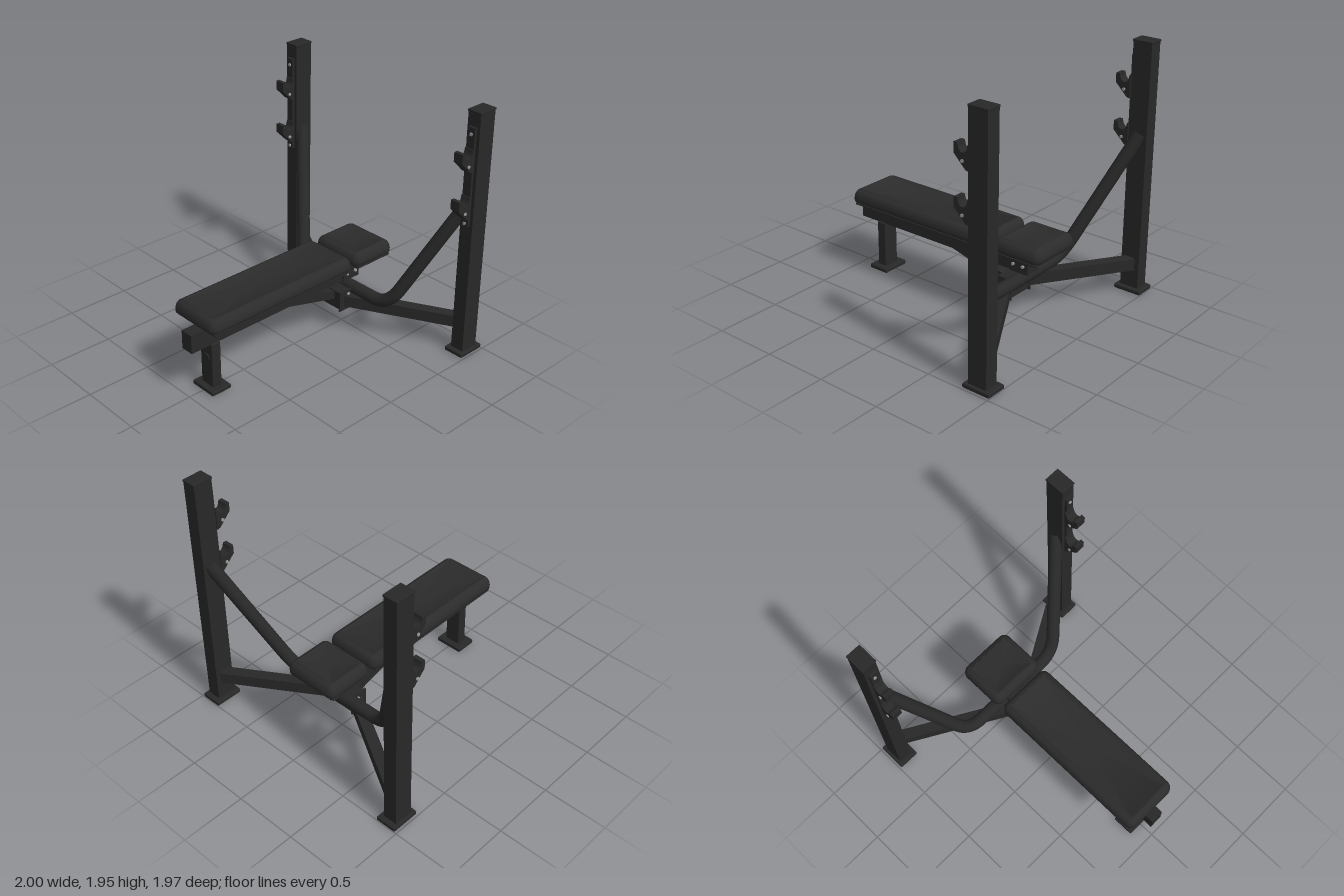
import * as THREE from 'three';
import { toCreasedNormals } from 'three/addons/utils/BufferGeometryUtils.js';
import { RoundedBoxGeometry } from 'three/addons/geometries/RoundedBoxGeometry.js';

const mat = (name, color) => {
  const m = new THREE.MeshStandardMaterial({ color });
  m.name = name;
  return m;
};

export function createModel() {
  const frame = mat('frame black', 0x282828);
  const pad = mat('pad vinyl', 0x2b2b2b);
  const steel = mat('bolt steel', 0x9a9a9a);
  const model = new THREE.Group();
  model.name = 'benchPressStation';

  const add = (name, geometry, material = frame) => {
    const mesh = new THREE.Mesh(geometry, material);
    mesh.name = name;
    model.add(mesh);
    return mesh;
  };
  // Box given by its extents on each axis, with optional rounded edges
  const box = (name, [x0, x1], [y0, y1], [z0, z1], radius = 0) => {
    const size = [x1 - x0, y1 - y0, z1 - z0];
    const g = radius ? new RoundedBoxGeometry(...size, 2, radius) : new THREE.BoxGeometry(...size);
    return add(name, g.translate((x0 + x1) / 2, (y0 + y1) / 2, (z0 + z1) / 2));
  };
  const bolt = (x, y, z, axis = 'z', length = 0.012) => {
    const g = new THREE.CylinderGeometry(0.013, 0.013, length, 6);
    if (axis === 'z') g.rotateX(Math.PI / 2); else g.rotateZ(Math.PI / 2);
    add('bolt', g.translate(x, y, z), steel);
  };
  const extrude = (shape, depth) =>
    new THREE.ExtrudeGeometry(shape, { depth, bevelEnabled: false, curveSegments: 10 })
      .translate(0, 0, -depth / 2);

  // Cushion: a small lathe whose quadrants are pushed apart to a rounded rectangle
  const cushion = (name, x0, x1, halfZ) => {
    const r = 0.06;
    const profile = [[0, 0.585], [0.05, 0.585], [0.06, 0.597], [0.06, 0.62], [0.054, 0.648],
      [0.04, 0.67], [0.026, 0.68], [0.012, 0.684], [0.009, 0.681], [0.006, 0.685], [0, 0.685]]
      .map(p => new THREE.Vector2(...p));
    const g = new THREE.LatheGeometry(profile, 28, Math.PI / 28);
    const p = g.attributes.position;
    for (let i = 0; i < p.count; i++) {
      const x = p.getX(i), z = p.getZ(i);
      p.setX(i, x + Math.sign(x) * ((x1 - x0) / 2 - r) + (x0 + x1) / 2);
      p.setZ(i, z + Math.sign(z) * (halfZ - r));
    }
    add(name, toCreasedNormals(g, 0.8), pad);
  };

  // Pads with backing boards and mounting plates
  cushion('benchPad', -0.945, 0.39, 0.227);
  cushion('headPad', 0.42, 0.812, 0.227);
  box('benchPadBoard', [-0.915, 0.36], [0.565, 0.58], [-0.215, 0.215], 0.005);
  box('headPadBoard', [0.45, 0.785], [0.565, 0.58], [-0.215, 0.215], 0.005);
  box('benchPadCore', [-0.86, 0.31], [0.575, 0.59], [-0.17, 0.17]);
  box('headPadCore', [0.49, 0.74], [0.575, 0.59], [-0.17, 0.17]);
  box('benchPadMount', [-0.65, 0.09], [0.535, 0.566], [-0.12, 0.12]);
  box('headPadMount', [0.4, 0.71], [0.535, 0.566], [-0.12, 0.12]);

  // Main beam and foot-end leg
  box('mainBeam', [-1, 0.61], [0.39, 0.537], [-0.052, 0.052]);
  box('frontLeg', [-0.835, -0.755], [0.03, 0.395], [-0.065, 0.065], 0.01);
  box('frontFoot', [-0.88, -0.71], [0, 0.035], [-0.113, 0.113], 0.01);
  add('legDisc', new THREE.CylinderGeometry(0.036, 0.036, 0.009, 24)
    .rotateZ(Math.PI / 2).translate(-0.839, 0.265, 0));

  // Diagonal brace under the beam
  const brace = new THREE.Shape([[-0.13, 0.395], [0.4, 0.255], [0.4, 0.32], [0.15, 0.395]]
    .map(p => new THREE.Vector2(...p)));
  add('diagonalBrace', extrude(brace, 0.09));

  // Central connector
  box('connectorBox', [0.375, 0.495], [0.19, 0.335], [-0.105, 0.105]);

  // Bent tube joining both uprights
  const mid = new THREE.Vector3(0.525, 0.33, 0);
  const corner = s => new THREE.Vector3(0.525, 0.33, 0.457 * s);
  const end = s => new THREE.Vector3(0.895, 1.255, 0.875 * s);
  const flat = s => corner(s).lerp(mid, 0.3);
  const rise = s => corner(s).lerp(end(s), 0.15);
  const path = new THREE.CurvePath();
  path.add(new THREE.LineCurve3(end(-1), rise(-1)));
  path.add(new THREE.QuadraticBezierCurve3(rise(-1), corner(-1), flat(-1)));
  path.add(new THREE.LineCurve3(flat(-1), flat(1)));
  path.add(new THREE.QuadraticBezierCurve3(flat(1), corner(1), rise(1)));
  path.add(new THREE.LineCurve3(rise(1), end(1)));
  add('bentTube', new THREE.TubeGeometry(path, 120, 0.05, 20));

  // Bar hook profile with a rounded cradle
  const hook = new THREE.Shape();
  hook.moveTo(0.795, 1.5);
  hook.lineTo(0.795, 1.68);
  hook.lineTo(0.785, 1.67);
  hook.bezierCurveTo(0.78, 1.595, 0.71, 1.595, 0.705, 1.67);
  hook.lineTo(0.675, 1.67);
  hook.lineTo(0.675, 1.6);
  hook.lineTo(0.77, 1.505);
  hook.closePath();

  for (const s of [-1, 1]) {
    const z = (a, b) => (s > 0 ? [a, b] : [-b, -a]);

    // Upright with foot and cap
    box('upright', [0.81, 0.96], [0.03, 1.935], z(0.853, 0.962));
    box('uprightFoot', [0.775, 1], [0, 0.035], z(0.82, 0.985), 0.01);
    box('uprightCap', [0.805, 0.965], [1.928, 1.945], z(0.848, 0.967), 0.004);

    // Hook rail and hooks
    box('hookRail', [0.79, 0.812], [1.08, 1.83], z(0.878, 0.937));
    for (const y of [1.1, 1.78]) bolt(0.787, y, 0.907 * s, 'x');
    for (const dy of [0, -0.36]) {
      add('barHook', extrude(hook, 0.075)).position.set(0, dy, 0.902 * s);
      for (const side of [-1, 1]) bolt(0.745, 1.56 + dy, 0.902 * s + side * 0.04, 'z', 0.01);
    }

    // Lower arm from connector to upright
    const a = new THREE.Vector3(0.435, 0.26, 0.08 * s);
    const b = new THREE.Vector3(0.895, 0.232, 0.86 * s);
    const arm = add('lowerArm', new THREE.BoxGeometry(0.085, 0.092, a.distanceTo(b)));
    arm.position.copy(a).lerp(b, 0.5);
    arm.lookAt(b);

    // Bolted side plates
    box('connectorPlate', [0.365, 0.507], [0.18, 0.345], z(0.105, 0.118));
    bolt(0.45, 0.31, 0.122 * s);
    box('beamPlate', [0.45, 0.61], [0.39, 0.51], z(0.052, 0.064));
    for (const x of [0.485, 0.57]) bolt(x, 0.45, 0.068 * s, 'z', 0.02);
  }
  return model;
}
